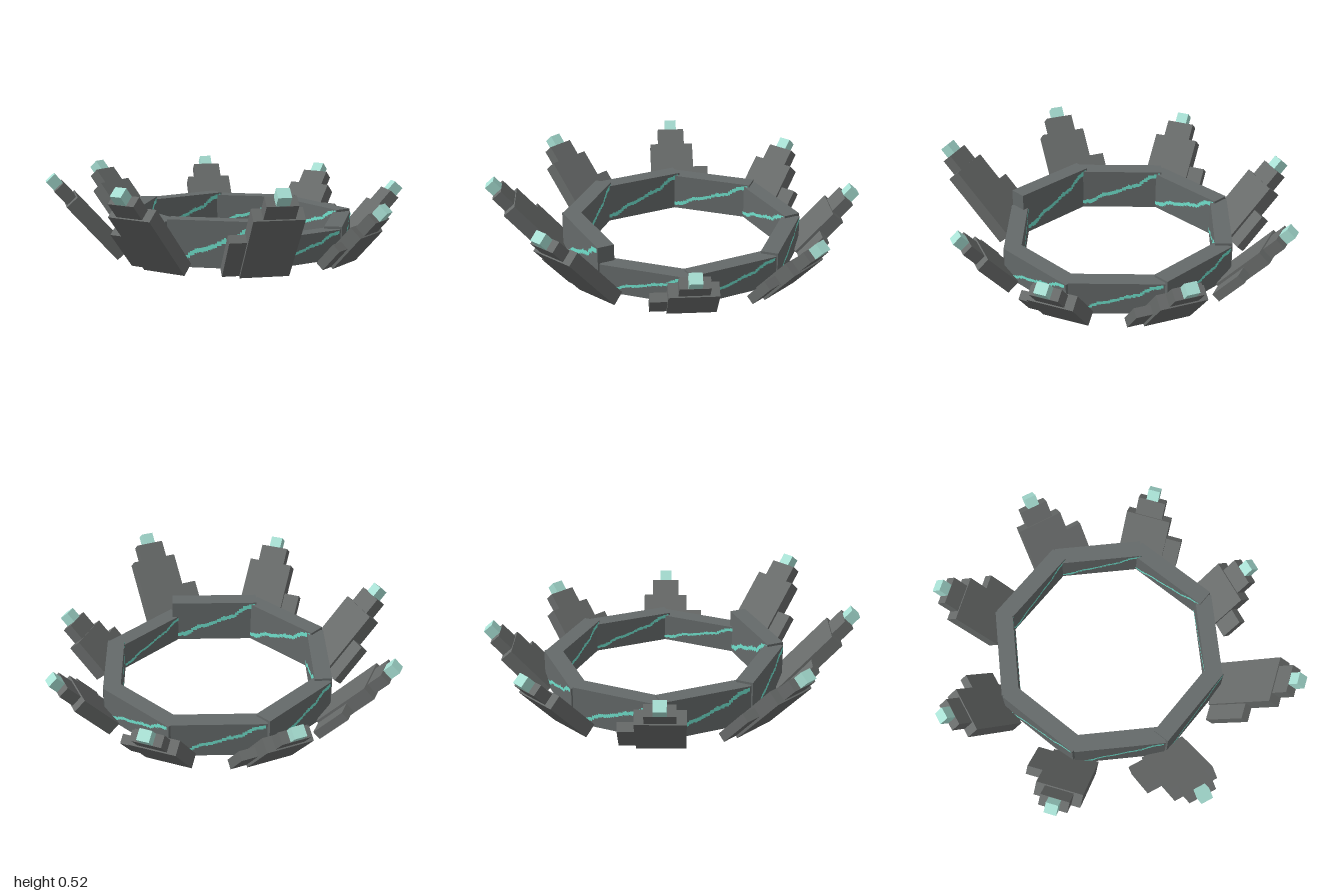
import * as THREE from 'three';

const COUNT = 8;
const STEP = (Math.PI * 2) / COUNT;
const TILT = 0.73;
const WALL = { length: 0.5, depth: 0.095, radius: 0.5725, base: 0.032 };

// small repeatable noise in 0..1
function seeded(seed) {
  let s = seed;
  return () => {
    s = (s * 16807) % 2147483647;
    return s / 2147483647;
  };
}

function box(name, w, h, d, material, x, y, z) {
  const mesh = new THREE.Mesh(new THREE.BoxGeometry(w, h, d), material);
  mesh.name = name;
  mesh.position.set(x, y, z);
  return mesh;
}

// ragged, stepped crack rising from lower left to upper right, in a unit square
function crackGeometry() {
  const path = [[0.03, 0.13], [0.18, 0.18], [0.3, 0.36], [0.46, 0.43], [0.6, 0.57], [0.73, 0.64], [0.86, 0.86], [0.98, 0.92]];
  const random = seeded(77);
  const columns = 40;
  const top = [];
  const bottom = [];
  for (let i = 0; i < columns; i++) {
    const a = 0.03 + (0.95 * i) / columns;
    const b = 0.03 + (0.95 * (i + 1)) / columns;
    const mid = (a + b) / 2;
    const j = path.findIndex((p) => p[0] > mid);
    const [p, q] = [path[j - 1], path[j]];
    const y = p[1] + ((q[1] - p[1]) * (mid - p[0])) / (q[0] - p[0]);
    const up = y + 0.035 + random() * 0.035;
    const low = y - 0.035 - random() * 0.035;
    top.push(new THREE.Vector2(a, up), new THREE.Vector2(b, up));
    bottom.push(new THREE.Vector2(a, low), new THREE.Vector2(b, low));
  }
  const geometry = new THREE.ShapeGeometry(new THREE.Shape([...bottom, ...top.reverse()]));
  geometry.translate(-0.5, 0, 0);
  return geometry;
}

export function createModel() {
  const wallStone = new THREE.MeshStandardMaterial({ color: 0x656a6a });
  wallStone.name = 'wall stone';
  const spikeStone = new THREE.MeshStandardMaterial({ color: 0x686b6a });
  spikeStone.name = 'spike stone';
  const crystal = new THREE.MeshStandardMaterial({ color: 0xa8e0d4 });
  crystal.name = 'pale crystal';
  const glow = new THREE.MeshStandardMaterial({ color: 0x70e0cc });
  glow.name = 'glowing crack';

  const model = new THREE.Group();
  model.name = 'spikedRing';
  const crack = crackGeometry();

  // wall segments, each a little taller than the last
  function makeWall(k) {
    const wall = new THREE.Group();
    wall.name = 'wallSegment';
    const h = 0.157 + 0.013 * k;
    wall.add(box('wallBlock', WALL.length, h, WALL.depth, wallStone, 0, h / 2, 0));
    for (const side of [1, -1]) {
      const mesh = new THREE.Mesh(crack, glow);
      mesh.name = side > 0 ? 'outerCrack' : 'innerCrack';
      mesh.scale.set(WALL.length, h, 1);
      mesh.rotation.y = side > 0 ? 0 : Math.PI;
      mesh.position.z = side * (WALL.depth / 2 + 0.002);
      wall.add(mesh);
    }
    wall.position.set(0, WALL.base, WALL.radius);
    return wall;
  }

  // spikes leaning outward, growing longer around the ring
  function makeSpike(k) {
    const spike = new THREE.Group();
    spike.name = 'spike';
    const h = 0.24 + 0.0325 * k;
    const side = h * 0.6;
    spike.add(
      box('spikeSlab', 0.26, h, 0.08, spikeStone, 0, h / 2, 0),
      box('spikeNeck', 0.16, 0.1, 0.065, spikeStone, 0, h + 0.05, 0),
      box('crystalTip', 0.068, 0.062, 0.062, crystal, 0, h + 0.131, 0),
      box('sideSlab', 0.09, side, 0.052, spikeStone, -0.175, side / 2, 0)
    );
    spike.rotation.x = TILT;
    spike.position.set(0, 0.04 * Math.sin(TILT), 0.66);
    return spike;
  }

  for (let k = 0; k < COUNT; k++) {
    const wallArm = new THREE.Group();
    wallArm.name = 'wallArm';
    wallArm.rotation.y = k * STEP;
    wallArm.add(makeWall(k));
    const spikeArm = new THREE.Group();
    spikeArm.name = 'spikeArm';
    spikeArm.rotation.y = (k + 0.5) * STEP;
    spikeArm.add(makeSpike(k));
    model.add(wallArm, spikeArm);
  }

  // centre the uneven outline
  for (const arm of model.children) arm.position.set(0.035, 0, -0.038);
  return model;
}
